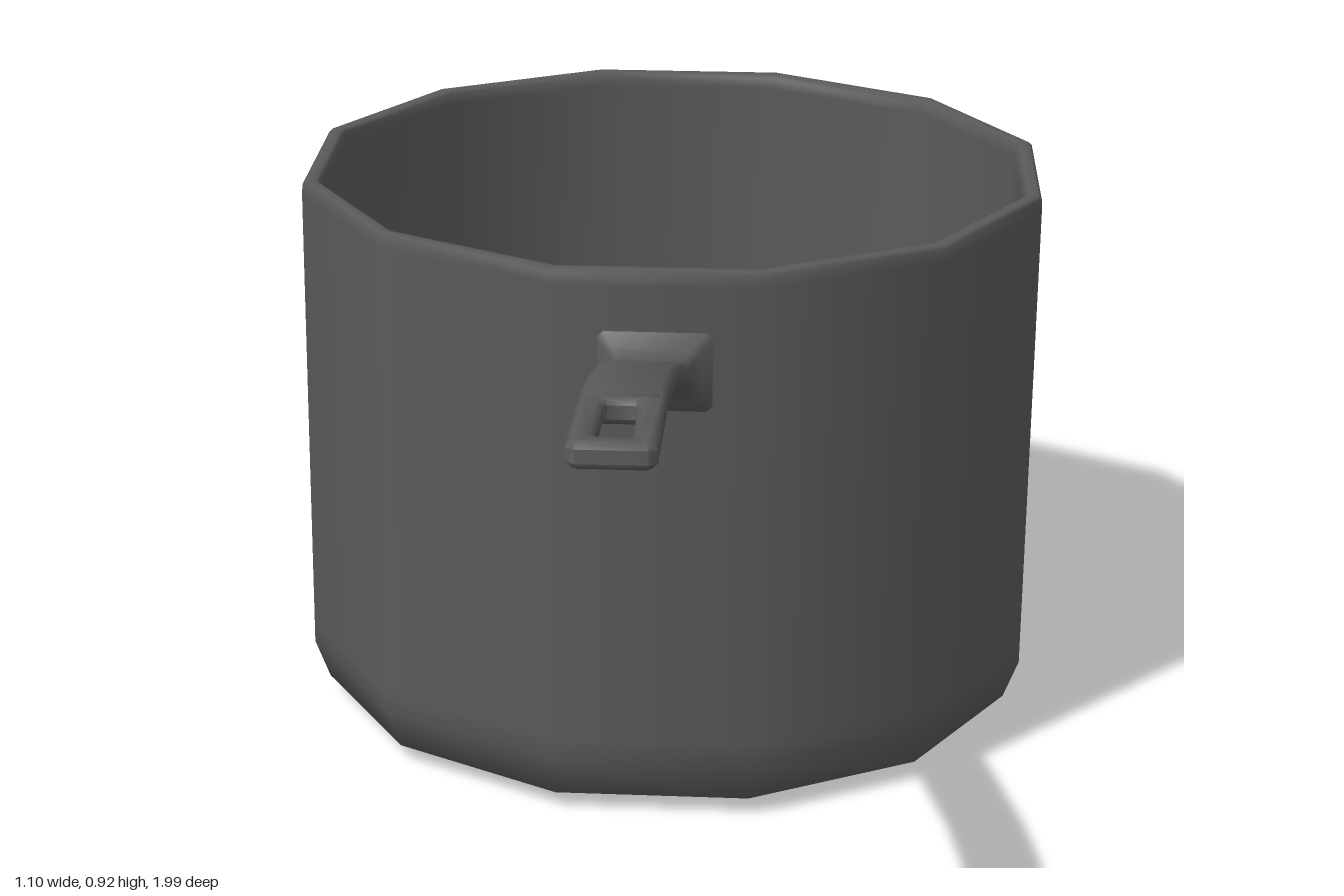
import * as THREE from 'three';
import { toCreasedNormals } from 'three/addons/utils/BufferGeometryUtils.js';

// Loft through chamfered rectangles; each section is [z, yCentre, halfWidth, halfHeight]
function loft(sections, chamfer) {
  const pos = [], idx = [], n = 8;
  for (const [z, yc, w, h] of sections) {
    const a = w - chamfer, b = h - chamfer;
    const ring = [[w, -b], [w, b], [a, h], [-a, h], [-w, b], [-w, -b], [-a, -h], [a, -h]];
    for (const [x, y] of ring) pos.push(x, yc + y, z);
  }
  for (let i = 0; i < sections.length - 1; i++) {
    for (let j = 0; j < n; j++) {
      const a = i * n + j, b = i * n + (j + 1) % n;
      idx.push(a, b, b + n, a, b + n, a + n);
    }
  }
  const geo = new THREE.BufferGeometry();
  geo.setAttribute('position', new THREE.Float32BufferAttribute(pos, 3));
  geo.setIndex(idx);
  return toCreasedNormals(geo, 0.95);
}

export function createModel() {
  const model = new THREE.Group();
  model.name = 'saucepan';
  const metal = new THREE.MeshStandardMaterial({ color: 0x5a5a5a });
  metal.name = 'dark metal';

  // Twelve-sided pot with chamfered foot, thin rim and hollow inside
  const profile = [
    [0, 0], [0.45, 0], [0.468, 0.001], [0.528, 0.026], [0.55, 0.085], [0.55, 0.12],
    [0.55, 0.79], [0.549, 0.806], [0.544, 0.811], [0.53, 0.811], [0.525, 0.806],
    [0.522, 0.79], [0.52, 0.1], [0.505, 0.045], [0.49, 0.032], [0.47, 0.03], [0, 0.03],
  ].map(([x, y]) => new THREE.Vector2(x, y));
  const pot = new THREE.Mesh(new THREE.LatheGeometry(profile, 12), metal);
  pot.name = 'pot';
  pot.position.z = -0.45;
  model.add(pot);

  // Handle leaves the middle of one flat side, measured from the pot's axis
  const handle = new THREE.Group();
  handle.name = 'handle';
  handle.position.z = -0.45;
  handle.rotation.y = Math.PI / 12;
  model.add(handle);

  // Flared root and curved shaft
  const shaft = new THREE.Mesh(loft([
    [0.522, 0.67, 0.085, 0.062], [0.534, 0.67, 0.076, 0.054], [0.55, 0.671, 0.06, 0.037],
    [0.572, 0.68, 0.052, 0.023], [0.61, 0.694, 0.05, 0.017], [0.82, 0.77, 0.05, 0.016],
    [1.045, 0.843, 0.05, 0.016], [1.15, 0.868, 0.05, 0.016], [1.242, 0.887, 0.05, 0.015],
    [1.285, 0.8915, 0.05, 0.015],
  ], 0.008), metal);
  shaft.name = 'handleShaft';
  handle.add(shaft);

  // Flat tip with a hanging slot
  const length = 0.235, c = 0.01;
  const outline = new THREE.Shape([
    [-0.05, 0], [0.05, 0], [0.05, length - c], [0.05 - c, length],
    [-0.05 + c, length], [-0.05, length - c],
  ].map(([x, y]) => new THREE.Vector2(x, y)));
  outline.holes.push(new THREE.Path([
    [-0.02, 0.054], [-0.02, 0.194], [-0.016, 0.198], [0.016, 0.198],
    [0.02, 0.194], [0.02, 0.054], [0.016, 0.05], [-0.016, 0.05],
  ].map(([x, y]) => new THREE.Vector2(x, y))));
  const bevel = 0.007;
  const plate = new THREE.ExtrudeGeometry(outline, {
    depth: 0.016, bevelThickness: bevel, bevelSize: bevel, bevelOffset: -bevel, bevelSegments: 1,
  });
  plate.translate(0, 0, -0.008);
  plate.rotateX(Math.PI / 2);
  const tip = new THREE.Mesh(toCreasedNormals(plate, 0.95), metal);
  tip.name = 'handleTip';
  tip.position.set(0, 0.888, 1.25);
  tip.rotation.x = -0.09;
  handle.add(tip);

  return model;
}
